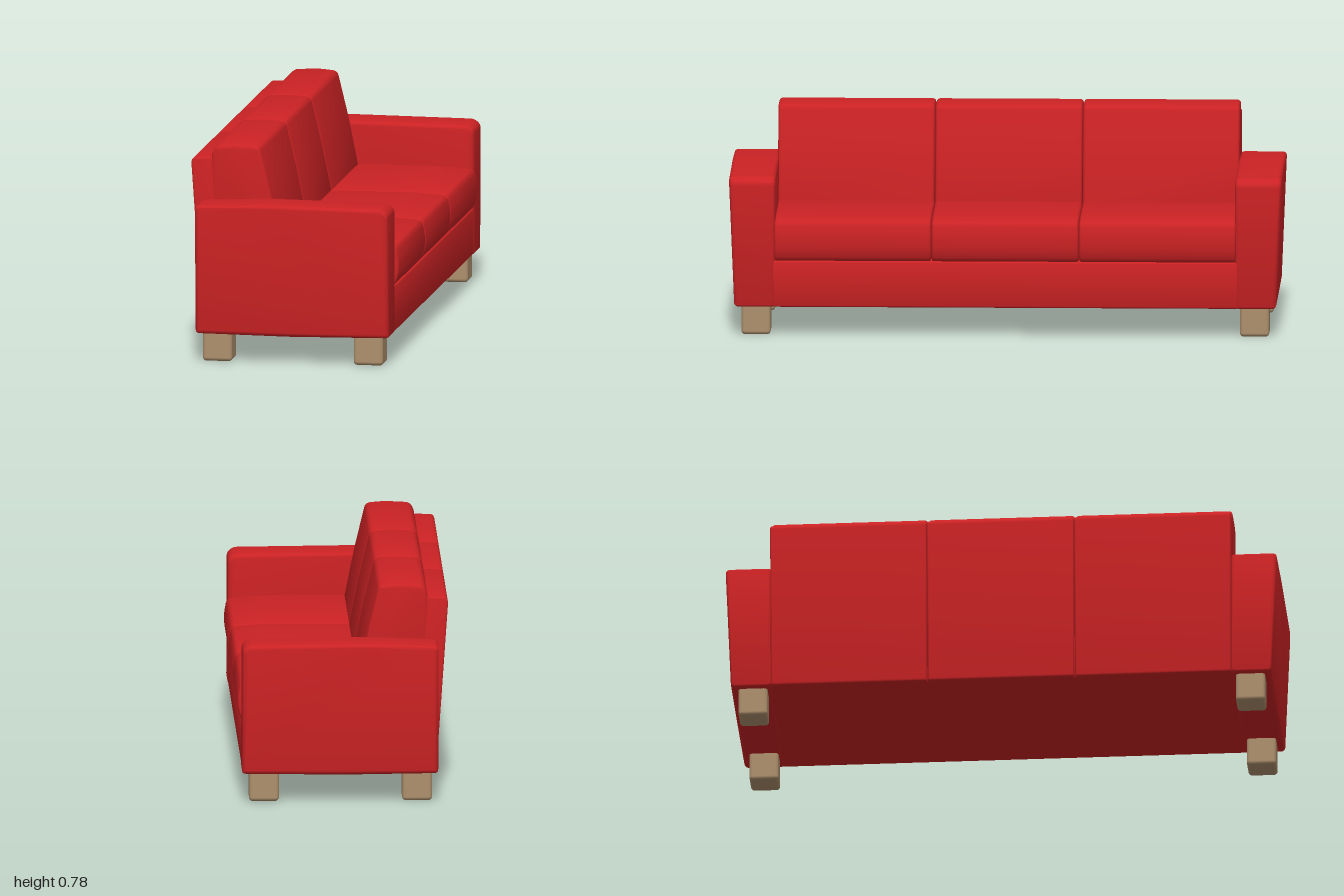
import * as THREE from 'three';
import { toCreasedNormals } from 'three/addons/utils/BufferGeometryUtils.js';
import { RoundedBoxGeometry } from 'three/addons/geometries/RoundedBoxGeometry.js';

// Closed x-y outline with every corner rounded off by up to r
function roundedShape(points, r) {
  const pts = points.map(([x, y]) => new THREE.Vector2(x, y));
  const toward = (a, b) => a.clone().lerp(b, Math.min(r / a.distanceTo(b), 0.45));
  const shape = new THREE.Shape();
  pts.forEach((p, i) => {
    const before = toward(p, pts[(i + pts.length - 1) % pts.length]);
    const after = toward(p, pts[(i + 1) % pts.length]);
    if (i === 0) shape.moveTo(before.x, before.y);
    else shape.lineTo(before.x, before.y);
    shape.quadraticCurveTo(p.x, p.y, after.x, after.y);
  });
  shape.closePath();
  return shape;
}

// Upholstered block: outline in x-y, running from z0 to z1 with soft end edges
function padded(points, z0, z1, r = 0.02, bevel = 0.012) {
  const geometry = new THREE.ExtrudeGeometry(roundedShape(points, r), {
    depth: z1 - z0 - 2 * bevel,
    bevelEnabled: true,
    bevelThickness: bevel,
    bevelSize: bevel,
    bevelOffset: -bevel,
    bevelSegments: 3,
    curveSegments: 4,
  });
  geometry.translate(0, 0, z0 + bevel);
  return toCreasedNormals(geometry, 0.7);
}

export function createModel() {
  const red = new THREE.MeshStandardMaterial({ color: 0xcc2224 });
  red.name = 'redUpholstery';
  const wood = new THREE.MeshStandardMaterial({ color: 0xae906d });
  wood.name = 'paleWood';

  const sofa = new THREE.Group();
  sofa.name = 'sofa';
  const add = (name, geometry, material = red) => {
    const mesh = new THREE.Mesh(geometry, material);
    mesh.name = name;
    sofa.add(mesh);
    return mesh;
  };

  // Seat base between the arms
  add('seatBase', padded([
    [-0.325, 0.105], [0.366, 0.105], [0.366, 0.275], [-0.325, 0.275],
  ], -0.845, 0.845, 0.012, 0.008));

  // Arms, leaning out slightly toward the top
  const armOutline = [
    [-0.342, 0.104], [0, 0.1], [0.368, 0.105], [0.366, 0.562],
    [0.342, 0.58], [-0.1, 0.584], [-0.342, 0.574],
  ];
  for (const side of [-1, 1]) {
    const z = side > 0 ? [0.832, 1] : [-1, -0.832];
    const arm = padded(armOutline, z[0], z[1], 0.014, 0.014);
    const p = arm.attributes.position;
    for (let i = 0; i < p.count; i++) {
      if (Math.abs(p.getZ(i)) > 0.93) {
        const lean = 0.02 * Math.max(0, (0.58 - p.getY(i)) / 0.48);
        p.setZ(i, p.getZ(i) - side * lean);
      }
    }
    add(side > 0 ? 'leftEndArm' : 'rightEndArm', toCreasedNormals(arm, 0.7));
  }

  // Three matching sections of seat cushion, back cushion and back panel
  const seams = [-0.836, -0.267, 0.267, 0.836];
  const seatOutline = [
    [-0.25, 0.272], [0.364, 0.272], [0.379, 0.315], [0.381, 0.365],
    [0.37, 0.423], [0.25, 0.431], [-0.25, 0.428],
  ];
  const cushionOutline = [
    [-0.308, 0.4], [-0.05, 0.4], [-0.09, 0.6], [-0.131, 0.77],
    [-0.2, 0.776], [-0.292, 0.771], [-0.308, 0.74],
  ];
  const panelOutline = [
    [-0.34, 0.106], [-0.26, 0.106], [-0.304, 0.728], [-0.375, 0.725], [-0.382, 0.71],
  ];
  for (let i = 0; i < 3; i++) {
    const z0 = seams[i] + 0.001;
    const z1 = seams[i + 1] - 0.001;
    add('seatCushion', padded(seatOutline, z0, z1, 0.02, 0.01));
    add('backCushion', padded(cushionOutline, z0, z1, 0.018, 0.012));
    add('backPanel', padded(panelOutline, z0, z1, 0.01, 0.006));
  }

  // Four short block legs
  for (const x of [-0.266, 0.288]) {
    for (const z of [-0.902, 0.902]) {
      const leg = add('leg', new RoundedBoxGeometry(0.108, 0.12, 0.106, 3, 0.014), wood);
      leg.position.set(x, 0.06, z);
    }
  }
  return sofa;
}
